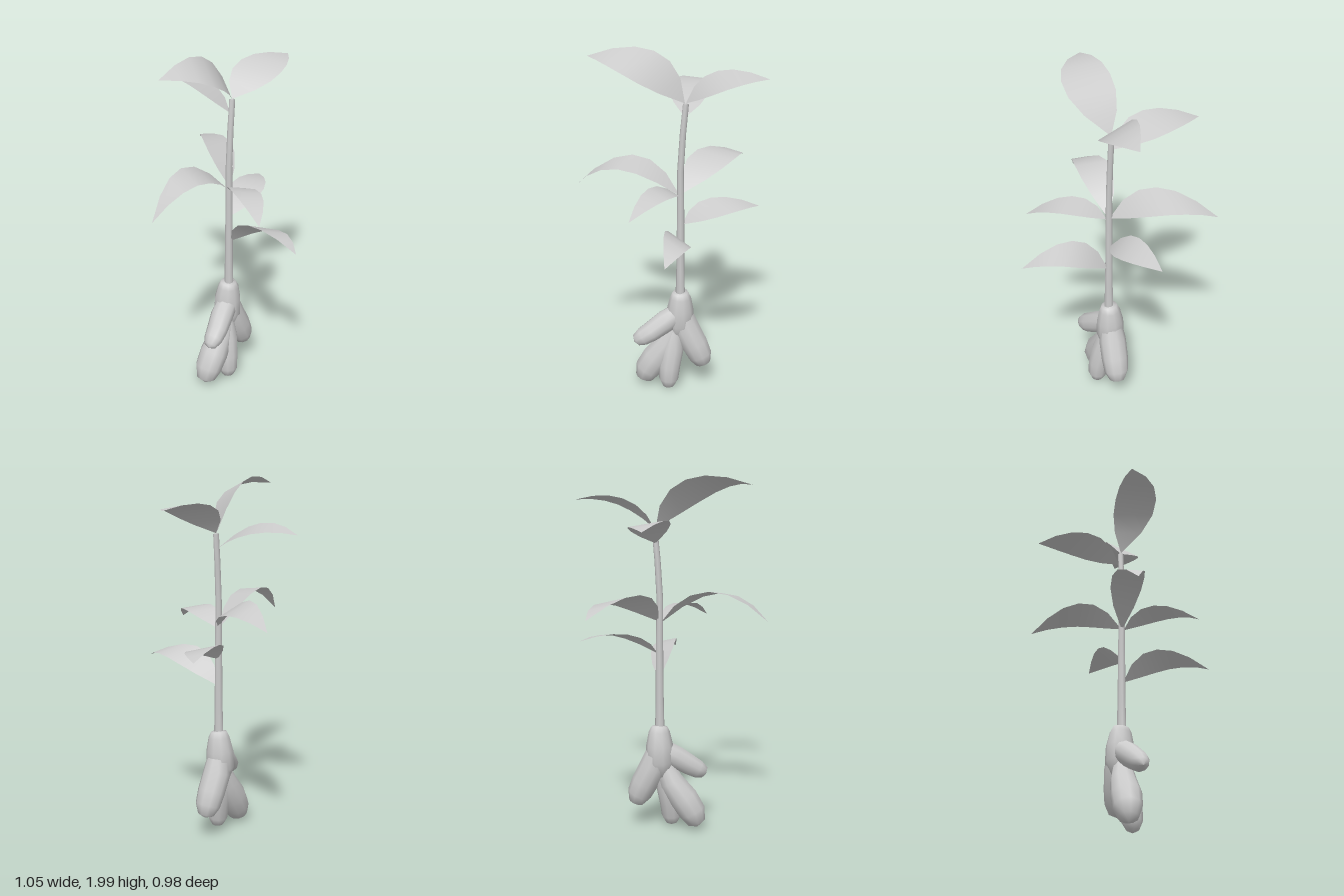
import * as THREE from 'three';

const V = (p) => new THREE.Vector3(p[0], p[1], p[2]);

// Round limb: one ring per [x, y, z, radius] station, smooth shaded
function limb(name, stations, material, sides = 10) {
  const positions = [], index = [];
  const last = stations.length - 1;
  stations.forEach((s, i) => {
    const t = V(stations[Math.min(i + 1, last)]).sub(V(stations[Math.max(i - 1, 0)])).normalize();
    const u = t.clone().cross(new THREE.Vector3(0, 0, 1)).normalize();
    const w = t.clone().cross(u);
    for (let j = 0; j < sides; j++) {
      const a = (j / sides) * Math.PI * 2;
      const p = V(s).addScaledVector(u, Math.cos(a) * s[3]).addScaledVector(w, Math.sin(a) * s[3]);
      positions.push(p.x, p.y, p.z);
      if (i === last) continue;
      const k = (j + 1) % sides, r = i * sides;
      index.push(r + j, r + k, r + sides + j, r + k, r + sides + k, r + sides + j);
    }
  });
  const geo = new THREE.BufferGeometry();
  geo.setAttribute('position', new THREE.Float32BufferAttribute(positions, 3));
  geo.setIndex(index);
  geo.computeVertexNormals();
  const mesh = new THREE.Mesh(geo, material);
  mesh.name = name;
  return mesh;
}

// Leaf blade arching from base through mid to tip; roll lifts its right edge
const PROFILE = [0, 0.66, 0.97, 1, 0.84, 0.5, 0];
function leaf(name, { base, mid, tip, width, roll }, material) {
  const b = V(base), t = V(tip);
  const control = V(mid).multiplyScalar(2).addScaledVector(b, -0.5).addScaledVector(t, -0.5);
  const curve = new THREE.QuadraticBezierCurve3(b, control, t);
  const dir = t.clone().sub(b).setY(0).normalize();
  const right = dir.clone().cross(new THREE.Vector3(0, 1, 0));
  // Half-width vector: sideways, rolled, and swept along the blade
  const half = right.multiplyScalar(width / 2).addScaledVector(dir, -roll * 0.9);
  half.y = roll / 2;

  const n = PROFILE.length - 1;
  const geo = new THREE.PlaneGeometry(1, 1, 1, n);
  const pos = geo.attributes.position;
  for (let i = 0; i < pos.count; i++) {
    const row = Math.floor(i / 2);
    // Rows run from the tip down to the base
    const p = curve.getPoint(1 - row / n);
    p.addScaledVector(half, PROFILE[n - row] * (i % 2 ? 1 : -1));
    pos.setXYZ(i, p.x, p.y, p.z);
  }
  geo.computeVertexNormals();
  const mesh = new THREE.Mesh(geo, material);
  mesh.name = name;
  return mesh;
}

const ROOTS = {
  rootCrown: [
    [0.065, 0.61, 0, 0], [0.065, 0.6, -0.002, 0.045], [0.067, 0.57, -0.004, 0.06],
    [0.065, 0.49, -0.008, 0.077], [0.065, 0.4, -0.01, 0.08], [0.06, 0.32, -0.005, 0.05], [0.06, 0.3, 0, 0],
  ],
  rightRoot: [
    [0.06, 0.5, -0.01, 0.06], [0.1, 0.37, -0.008, 0.078], [0.15, 0.27, 0, 0.077],
    [0.182, 0.2, 0.005, 0.07], [0.2, 0.15, 0.008, 0.045], [0.205, 0.133, 0.01, 0],
  ],
  upperLeftRoot: [
    [0.06, 0.47, 0, 0.06], [-0.02, 0.42, 0.015, 0.066], [-0.1, 0.365, 0.038, 0.06],
    [-0.15, 0.335, 0.048, 0.053], [-0.185, 0.315, 0.053, 0.036], [-0.197, 0.305, 0.055, 0],
  ],
  lowerLeftRoot: [
    [0.05, 0.4, 0, 0.045], [0, 0.28, -0.005, 0.07], [-0.07, 0.18, -0.006, 0.083],
    [-0.12, 0.1, -0.01, 0.078], [-0.142, 0.04, -0.012, 0.055], [-0.15, 0.01, -0.012, 0],
  ],
  middleRoot: [
    [0.04, 0.38, 0, 0.045], [0.022, 0.25, 0.015, 0.066], [0.006, 0.14, 0.036, 0.062],
    [0.001, 0.06, 0.043, 0.056], [0, 0.016, 0.045, 0.034], [0, 0, 0.045, 0],
  ],
};

const STEM = [
  [0.065, 0.57, 0, 0.027], [0.065, 0.75, 0, 0.023], [0.065, 1.1, 0, 0.02], [0.063, 1.33, 0, 0.018],
  [0.075, 1.54, 0, 0.017], [0.09, 1.705, 0, 0.016], [0.091, 1.712, 0, 0],
];

// Leaves from the lowest to the topmost
const LEAVES = [
  { base: [0.07, 0.87, 0.01], mid: [0.055, 1.03, 0.24], tip: [0, 0.97, 0.49], width: 0.15, roll: 0.05 },
  { base: [0.075, 1.02, 0], mid: [0.28, 1.125, -0.025], tip: [0.5, 1.1, -0.1], width: 0.17, roll: -0.035 },
  { base: [0.06, 1.19, 0.01], mid: [-0.05, 1.272, 0.2], tip: [-0.19, 1.18, 0.38], width: 0.15, roll: 0.02 },
  { base: [0.07, 1.2, 0], mid: [0.25, 1.355, -0.22], tip: [0.41, 1.28, -0.47], width: 0.18, roll: -0.05 },
  { base: [0.06, 1.19, 0], mid: [-0.24, 1.368, -0.035], tip: [-0.53, 1.21, -0.05], width: 0.17, roll: 0.03 },
  { base: [0.085, 1.63, -0.01], mid: [0.105, 1.75, -0.245], tip: [0.12, 1.73, -0.49], width: 0.21, roll: -0.035 },
  { base: [0.09, 1.71, 0], mid: [0.28, 1.85, 0.05], tip: [0.525, 1.86, 0.06], width: 0.21, roll: -0.045 },
  { base: [0.085, 1.71, 0], mid: [-0.16, 1.935, 0.03], tip: [-0.435, 1.945, -0.06], width: 0.22, roll: 0.075 },
];

export function createModel() {
  const group = new THREE.Group();
  group.name = 'rootedPlant';
  const solid = new THREE.MeshStandardMaterial({ color: 0xcccccc });
  const blade = new THREE.MeshStandardMaterial({ color: 0xcccccc, side: THREE.DoubleSide });

  // Forked tuber
  const roots = new THREE.Group();
  roots.name = 'roots';
  for (const [name, stations] of Object.entries(ROOTS)) roots.add(limb(name, stations, solid));

  // Stem and foliage
  const leaves = new THREE.Group();
  leaves.name = 'leaves';
  LEAVES.forEach((spec, i) => leaves.add(leaf(`leaf${i + 1}`, spec, blade)));

  group.add(roots, limb('stem', STEM, solid, 8), leaves);
  return group;
}
